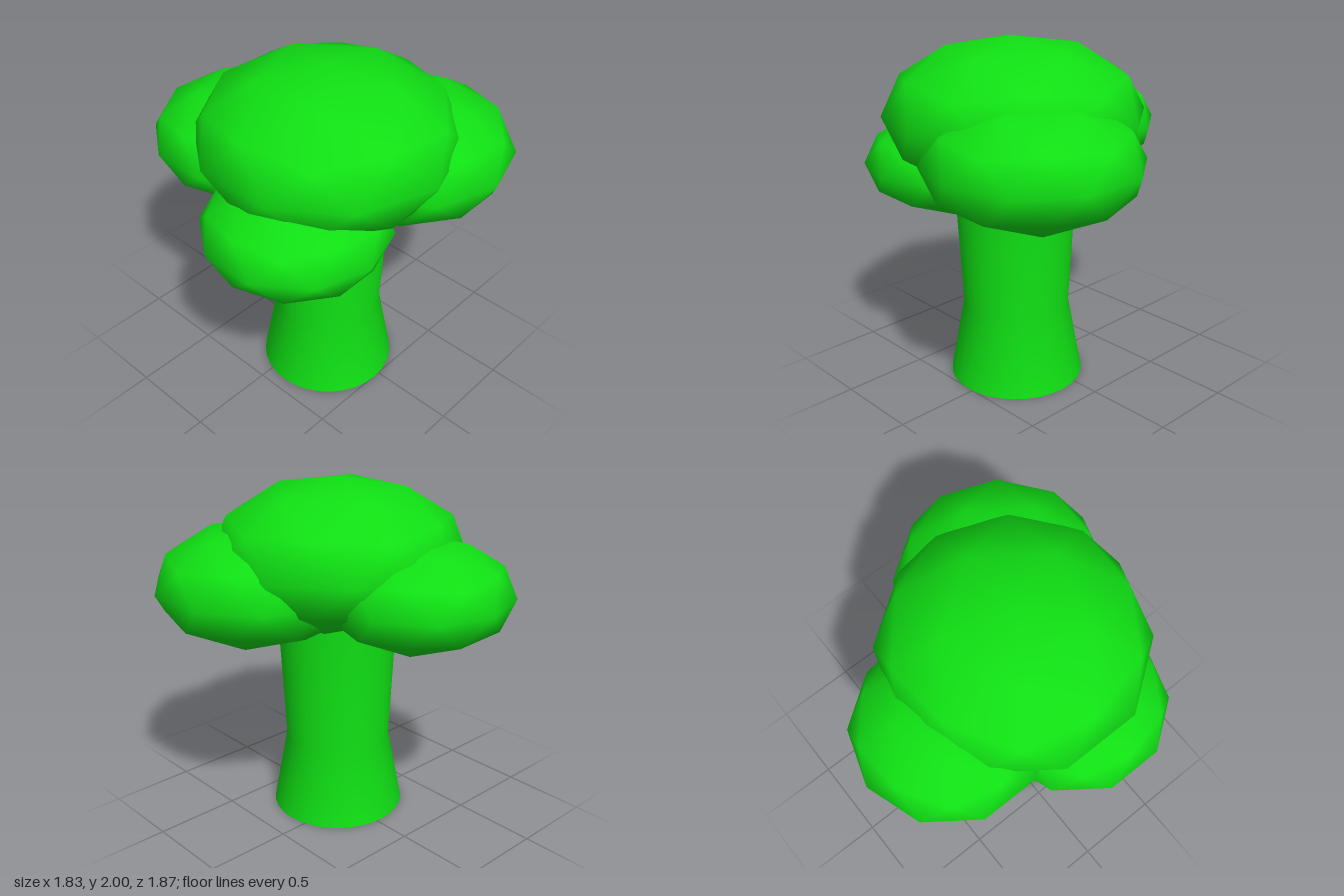
import * as THREE from 'three';

export function createModel() {
  const model = new THREE.Group();
  model.name = 'tree';
  const green = new THREE.MeshStandardMaterial({ color: 0x10e014 });

  const add = (name, geometry, x, y, z) => {
    const mesh = new THREE.Mesh(geometry, green);
    mesh.name = name;
    mesh.position.set(x, y, z);
    model.add(mesh);
    return mesh;
  };

  // Trunk: flared foot, narrow waist, widening into the crown
  const profile = [[0.39, 0], [0.307, 0.45], [0.35, 1.3]].map(([r, y]) => new THREE.Vector2(r, y));
  add('trunk', new THREE.LatheGeometry(profile, 32), -0.04, 0, 0.115);
  add('trunkBase', new THREE.CircleGeometry(0.39, 32).rotateX(Math.PI / 2), -0.04, 0, 0.115);

  // Foliage: flattened low-poly balls, turned so that one corner points straight up
  const ball = new THREE.IcosahedronGeometry(1, 1);
  ball.rotateZ(Math.atan(2 / (1 + Math.sqrt(5)))).rotateY(Math.PI);

  // name, centre x y z, horizontal radius, vertical radius
  const clumps = [
    ['crownTop', -0.045, 1.58, 0.11, 0.73, 0.42],
    ['crownLeft', 0.345, 1.43, 0.34, 0.595, 0.34],
    ['crownRight', -0.425, 1.25, 0.24, 0.515, 0.287],
    ['crownBack', -0.155, 1.43, -0.405, 0.53, 0.305],
  ];
  for (const [name, x, y, z, r, h] of clumps) add(name, ball, x, y, z).scale.set(r, h, r);

  return model;
}
